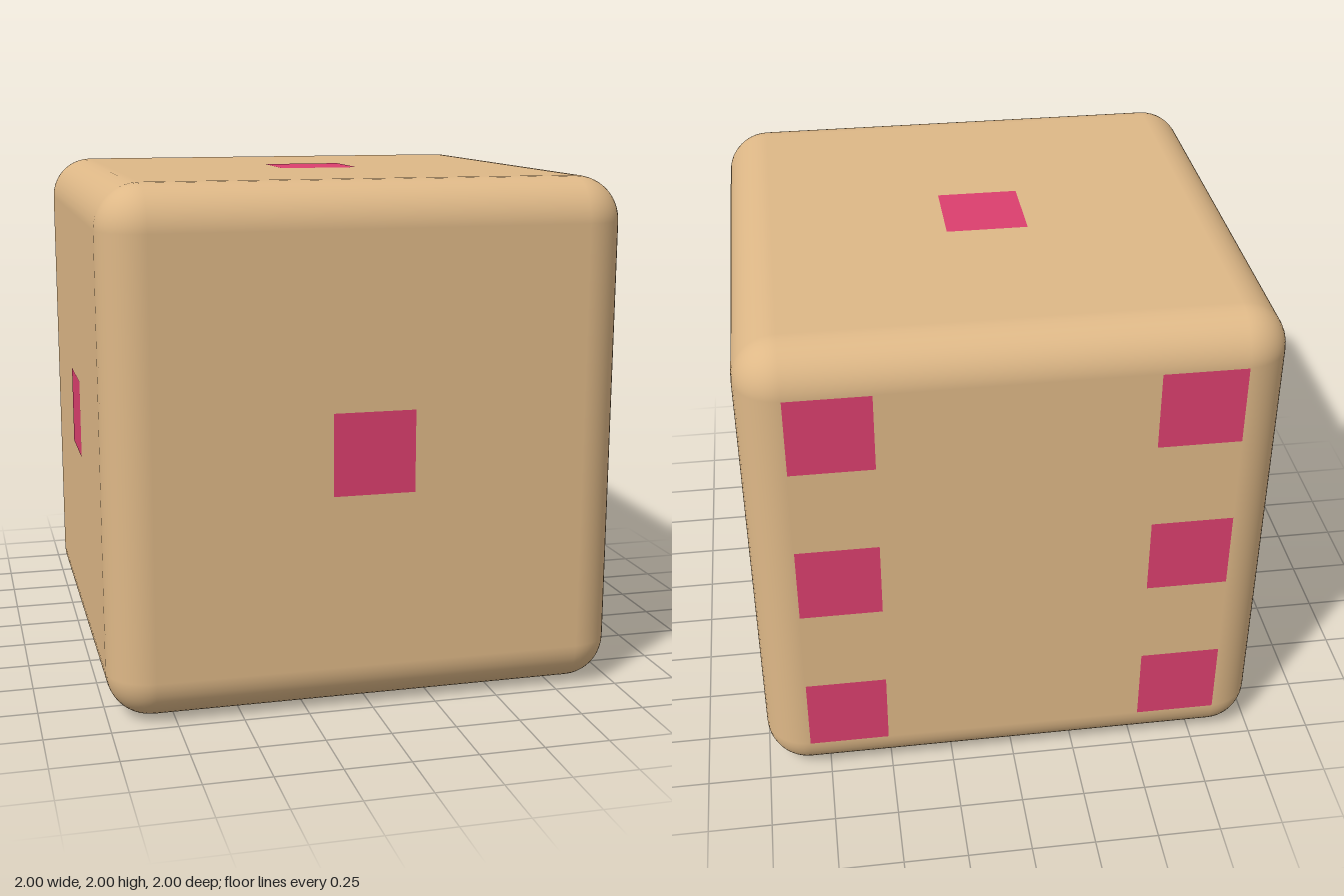
import * as THREE from 'three';
import { RoundedBoxGeometry } from 'three/addons/geometries/RoundedBoxGeometry.js';

export function createModel() {
  const model = new THREE.Group();
  model.name = 'die';
  const bodyMaterial = new THREE.MeshStandardMaterial({ color: 0xdeb887 });
  const pipMaterial = new THREE.MeshStandardMaterial({ color: 0xdc3f6e });

  // Cube with softly rounded edges
  const body = new THREE.Mesh(new RoundedBoxGeometry(1.997, 1.997, 1.997, 6, 0.17), bodyMaterial);
  body.name = 'body';
  body.position.y = 1;
  model.add(body);

  // Square pips lying on each face, placed in that face's own plane
  const pipGeometry = new THREE.PlaneGeometry(0.315, 0.315);
  const one = [[0, 0]];
  const six = [];
  for (const u of [-0.67, 0.67]) for (const v of [-0.67, 0, 0.67]) six.push([u, v]);

  const addFace = (name, rotX, rotY, spots) => {
    const face = new THREE.Group();
    face.name = name;
    face.position.y = 1;
    face.rotation.set(rotX, rotY, 0);
    for (const [u, v] of spots) {
      const pip = new THREE.Mesh(pipGeometry, pipMaterial);
      pip.name = 'pip';
      pip.position.set(u, v, 1);
      face.add(pip);
    }
    model.add(face);
  };

  const q = Math.PI / 2;
  addFace('frontPips', 0, 0, one);
  addFace('backPips', 0, Math.PI, six);
  addFace('leftPips', 0, q, one);
  addFace('rightPips', 0, -q, one);
  addFace('topPips', -q, 0, one);
  addFace('bottomPips', q, 0, one);
  return model;
}
